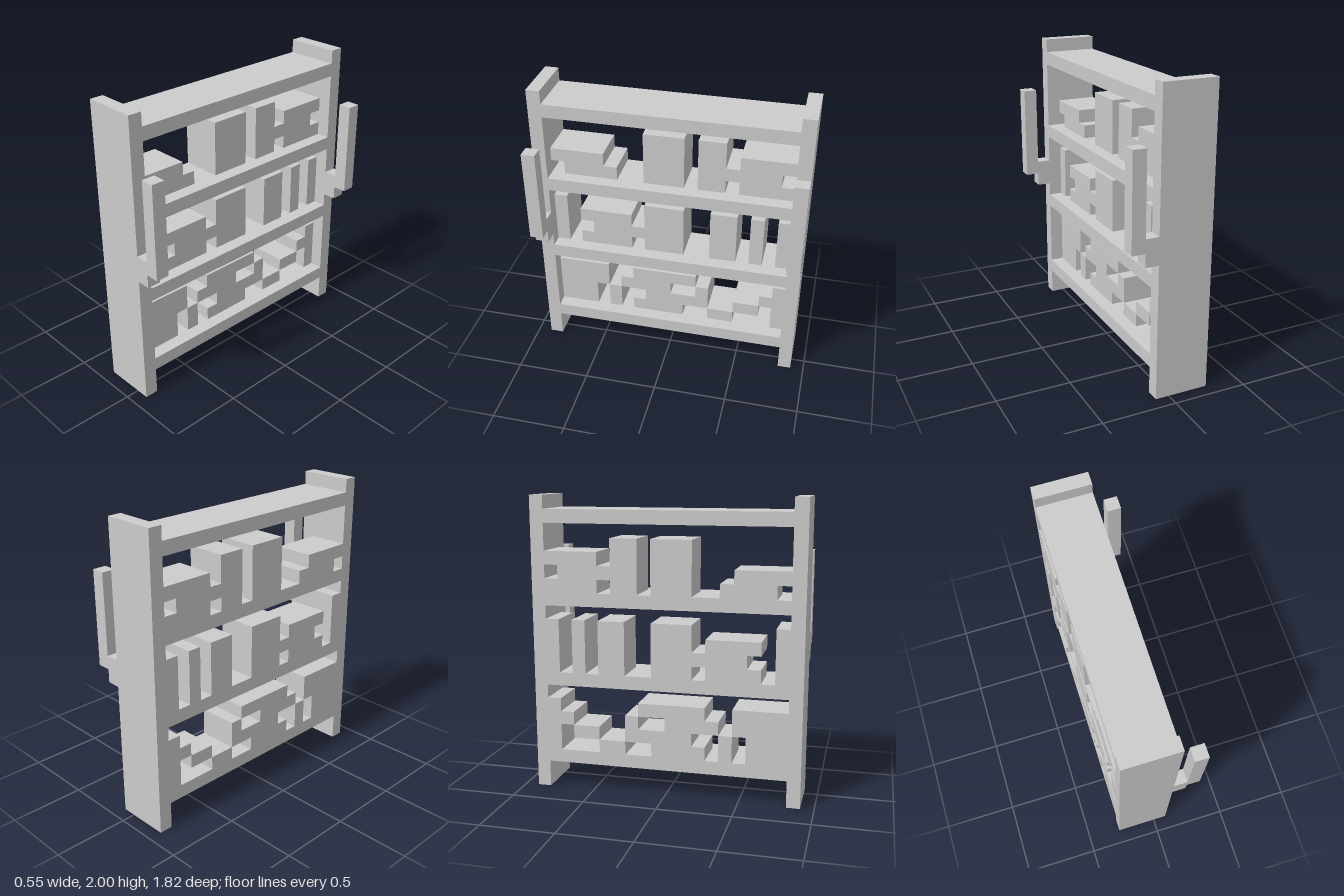
import * as THREE from 'three';
import { mergeGeometries } from 'three/addons/utils/BufferGeometryUtils.js';

const U = 1 / 11; // one block
const material = new THREE.MeshStandardMaterial({ color: 0xcccccc, flatShading: true });

// Block box: x from the back, y from the floor, c counted from the +z end
function block(x0, x1, y0, y1, c0, c1) {
  const g = new THREE.BoxGeometry((x1 - x0) * U, (y1 - y0) * U, (c1 - c0) * U);
  g.translate(((x0 + x1) / 2 - 3) * U, ((y0 + y1) / 2) * U, (10 - (c0 + c1) / 2) * U);
  return g;
}

function part(name, ...geometries) {
  const mesh = new THREE.Mesh(mergeGeometries(geometries), material);
  mesh.name = name;
  return mesh;
}

// Things standing on each shelf, top row first, read from the +z end
const contents = [
  { name: 'lowerShelfContents', floor: 3, rows: [
    '####..#####......#',
    '####.####..#....##',
    '###.#..#####..##.#',
    '###.#.####..##...#'] },
  { name: 'middleShelfContents', floor: 9, rows: [
    '#......###..##.#.#',
    '#.####.###..##.#.#',
    '#..#######..##.#.#',
    '#.####.###..##.#.#'] },
  { name: 'upperShelfContents', floor: 15, rows: [
    '.......###.##.....',
    '.......###.##.####',
    '####...###.######.',
    '.####..###.##.####'] },
];

// Turn a pattern into boxes: runs along a row, joined with equal runs above
function patternBoxes({ floor, rows }) {
  const open = new Map();
  const boxes = [];
  [...rows].reverse().forEach((row, level) => {
    for (const run of row.matchAll(/#+/g)) {
      const key = `${run.index}:${run[0].length}`;
      const below = open.get(key);
      if (below && below.top === level) below.top++;
      else {
        const box = { start: run.index + 1, end: run.index + 1 + run[0].length, bottom: level, top: level + 1 };
        open.set(key, box);
        boxes.push(box);
      }
    }
  });
  return boxes.map(b => block(0, 3, floor + b.bottom, floor + b.top, b.start, b.end));
}

export function createModel() {
  const model = new THREE.Group();
  model.name = 'bookcase';

  // End panels, each with a raised arm on the open side
  for (const [side, c] of [['front', 0], ['back', 19]]) {
    model.add(part(`${side}Panel`, block(0, 4, 0, 22, c, c + 1)));
    model.add(part(`${side}Arm`,
      block(4, 5, 10, 12, c, c + 1),
      block(5, 6, 11, 18, c, c + 1)));
  }

  // Shelf boards
  [2, 8, 14, 20].forEach((y, i) => model.add(part(`shelf${i + 1}`, block(0, 4, y, y + 1, 1, 19))));

  // Books and objects, set back one block from the open side
  for (const shelf of contents) model.add(part(shelf.name, ...patternBoxes(shelf)));

  return model;
}
